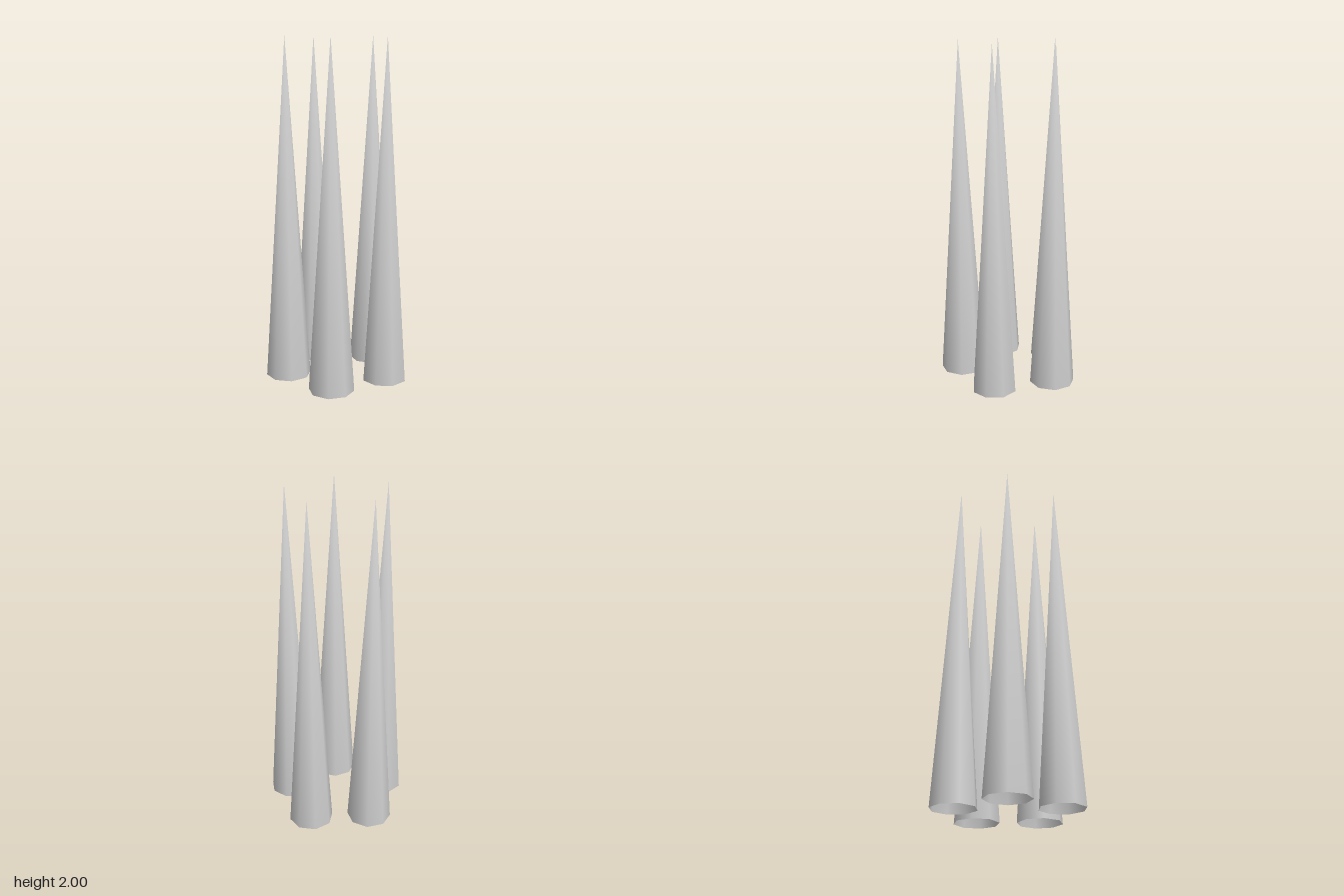
import * as THREE from 'three';
import { mergeVertices } from 'three/addons/utils/BufferGeometryUtils.js';

const COUNT = 5, RING = 0.303, RADIUS = 0.132, HEIGHT = 2;

// Open eight-sided cone with one shared tip, smoothly shaded over the point
function spikeGeometry() {
  const cone = new THREE.ConeGeometry(RADIUS, HEIGHT, 8, 1, true);
  cone.deleteAttribute('uv');
  cone.deleteAttribute('normal');
  const geometry = mergeVertices(cone, 1e-4);
  geometry.computeVertexNormals();
  geometry.translate(0, HEIGHT / 2, -RING);
  return geometry;
}

export function createModel() {
  const model = new THREE.Group();
  model.name = 'spikeRing';
  const geometry = spikeGeometry();
  const material = new THREE.MeshStandardMaterial({ color: 0xcccccc, side: THREE.DoubleSide });

  // Five spikes turned around the ring, starting at the back
  for (let i = 0; i < COUNT; i++) {
    const spike = new THREE.Mesh(geometry, material);
    spike.name = `spike${i + 1}`;
    spike.rotation.y = (i / COUNT) * Math.PI * 2;
    spike.position.z = 0.027; // centres the ring's depth on z = 0
    model.add(spike);
  }
  return model;
}
